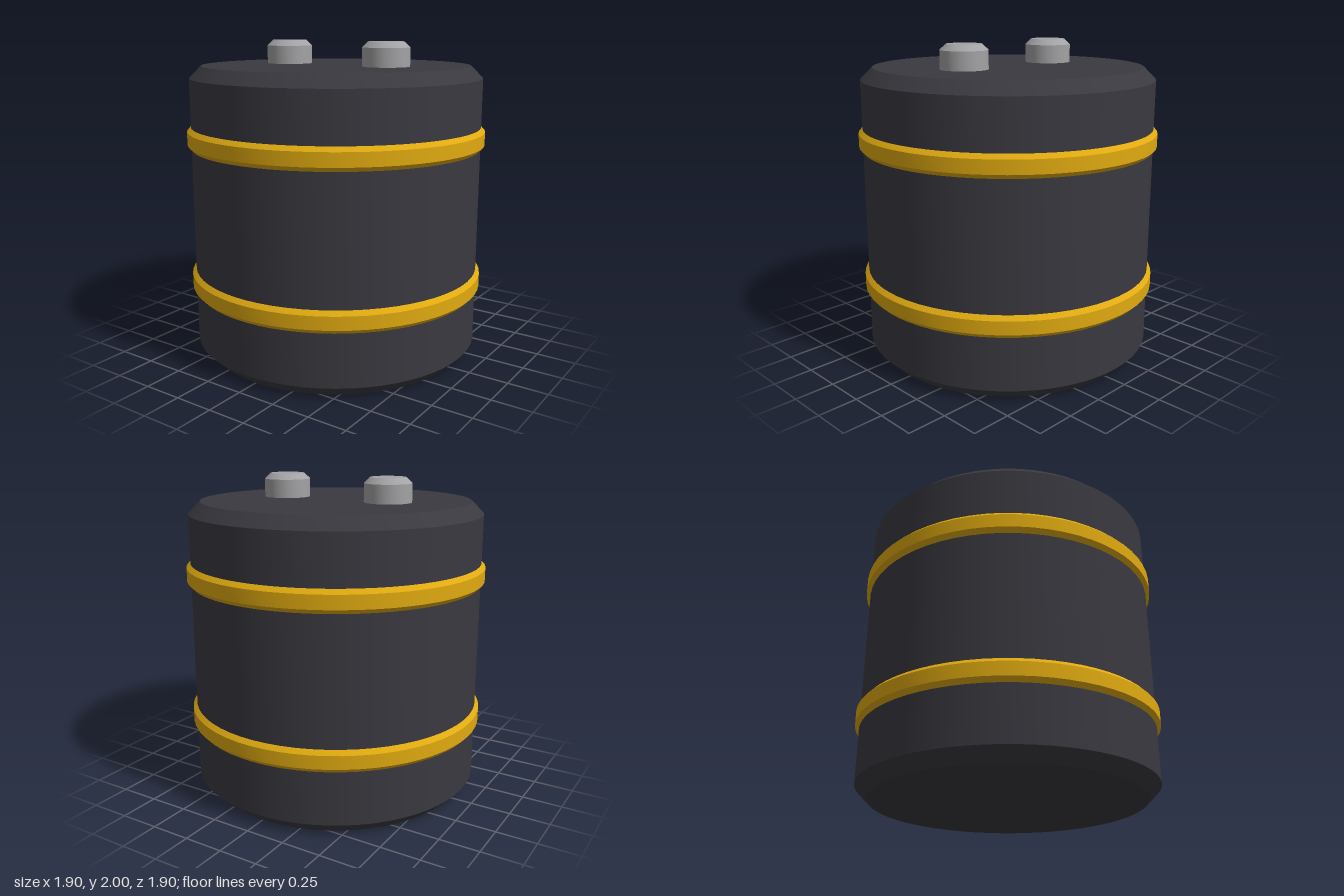
import * as THREE from 'three';
import { toCreasedNormals } from 'three/addons/utils/BufferGeometryUtils.js';

function material(name, color) {
  const m = new THREE.MeshStandardMaterial({ color });
  m.name = name;
  return m;
}

// Round part from [radius, height] points, bottom to top, with crisp chamfers
function turned(name, profile, sides, mat) {
  const points = profile.map(([r, y]) => new THREE.Vector2(r, y));
  const geometry = toCreasedNormals(new THREE.LatheGeometry(points, sides), 0.45);
  const mesh = new THREE.Mesh(geometry, mat);
  mesh.name = name;
  return mesh;
}

export function createModel() {
  const group = new THREE.Group();
  group.name = 'batteryCell';
  const casing = material('charcoal', 0x3a3940);
  const yellow = material('amber yellow', 0xe0aa10);
  const metal = material('grey metal', 0xa3a3a5);

  // Chamfered drum
  group.add(turned('body',
    [[0, 0], [0.85, 0], [0.925, 0.075], [0.925, 1.775], [0.85, 1.85], [0, 1.85]], 64, casing));

  // Raised bands around the drum
  for (const [name, y] of [['lowerBand', 0.48], ['upperBand', 1.403]]) {
    const band = turned(name,
      [[0.9, -0.069], [0.925, -0.069], [0.95, -0.042], [0.95, 0.042], [0.925, 0.069], [0.9, 0.069]], 64, yellow);
    band.position.y = y;
    group.add(band);
  }

  // Terminal posts on the lid
  for (const [name, x] of [['leftTerminal', 0.37], ['rightTerminal', -0.37]]) {
    const post = turned(name,
      [[0, 1.82], [0.147, 1.82], [0.147, 1.965], [0.11, 2], [0, 2]], 48, metal);
    post.position.x = x;
    group.add(post);
  }
  return group;
}
